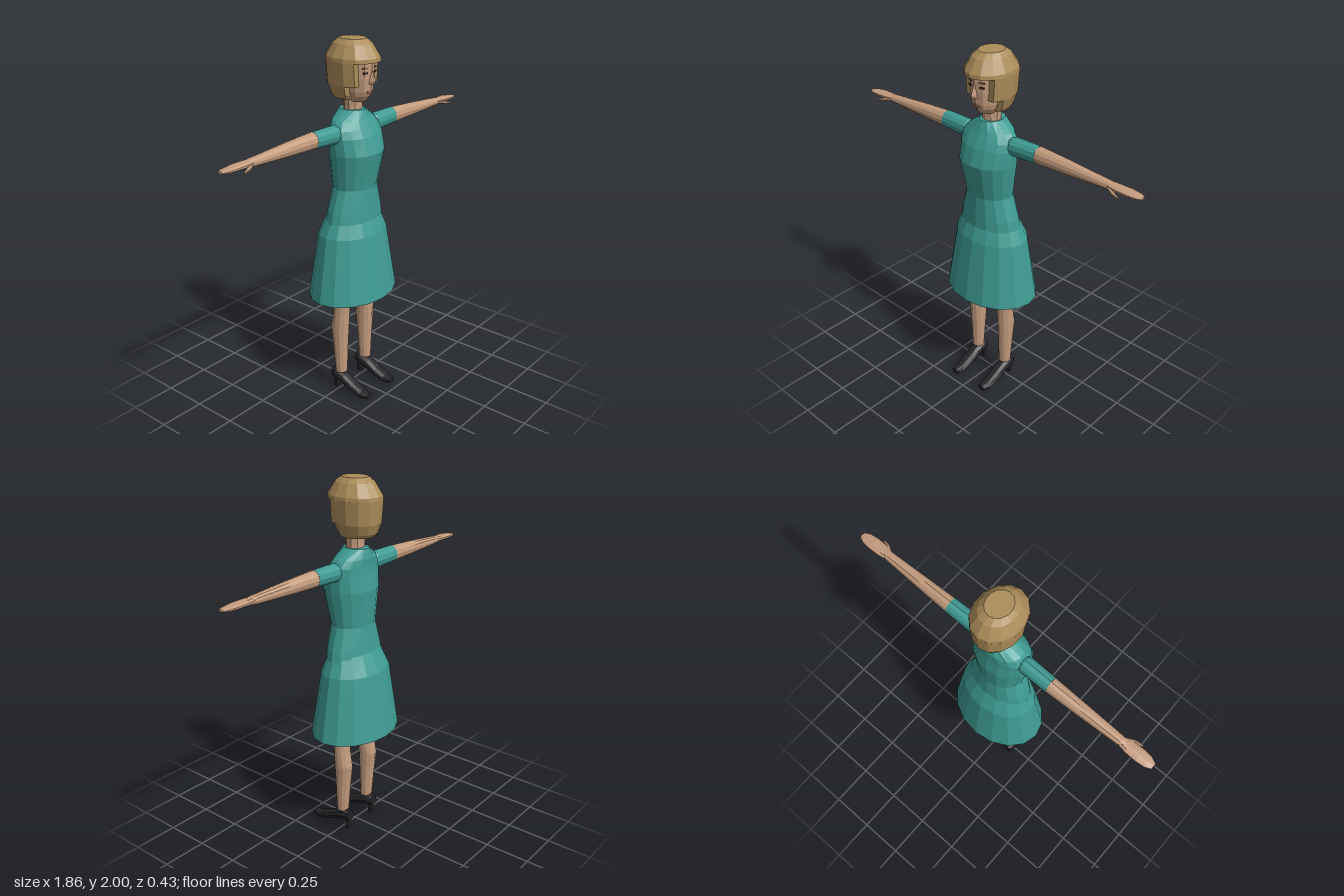
import * as THREE from 'three';

const mat = (name, color, side = THREE.FrontSide) =>
  Object.assign(new THREE.MeshStandardMaterial({ color, flatShading: true, side }), { name });

// Lofts elliptical rings along an axis. Ring: [position, centreU, radiusU, centreV, radiusV]
// y: U = x, V = z;  x: U = z, V = y;  z: U = y, V = x. Rings go in ascending position.
function loft(axis, rings, sides = 12, { caps = true, maxV = Infinity } = {}) {
  const pos = [], idx = [];
  const add = (p, u, v) => {
    if (axis === 'y') pos.push(u, p, v);
    else if (axis === 'x') pos.push(p, v, u);
    else pos.push(v, u, p);
  };
  for (const [p, cu, ru, cv, rv] of rings) {
    for (let j = 0; j < sides; j++) {
      const a = (j / sides) * Math.PI * 2;
      add(p, cu + ru * Math.sin(a), Math.min(maxV, cv + rv * Math.cos(a)));
    }
  }
  for (let i = 0; i < rings.length - 1; i++) {
    for (let j = 0; j < sides; j++) {
      const a = i * sides + j, b = i * sides + ((j + 1) % sides);
      idx.push(a, b, b + sides, a, b + sides, a + sides);
    }
  }
  if (caps) {
    const last = (rings.length - 1) * sides;
    for (let j = 1; j < sides - 1; j++) {
      idx.push(0, j + 1, j, last, last + j, last + j + 1);
    }
  }
  const g = new THREE.BufferGeometry();
  g.setAttribute('position', new THREE.Float32BufferAttribute(pos, 3));
  g.setIndex(idx);
  g.computeVertexNormals();
  return g;
}

// Mirrored copy across x = 0 with corrected winding
function mirrored(geometry) {
  const g = geometry.clone().scale(-1, 1, 1);
  const ix = g.index.array;
  for (let i = 0; i < ix.length; i += 3) [ix[i], ix[i + 1]] = [ix[i + 1], ix[i]];
  g.computeVertexNormals();
  return g;
}

export function createModel() {
  const model = new THREE.Group();
  model.name = 'woman';
  const skin = mat('skin', 0xc49c7e);
  const dress = mat('dress teal', 0x3f9c94);
  const skirtCloth = mat('skirt teal', 0x3f9c94, THREE.DoubleSide);
  const hair = mat('hair blond', 0xac8d5a);
  const black = mat('shoe black', 0x242428);
  const dark = mat('eye dark', 0x33261f);
  const brow = mat('brow brown', 0x6b5038);
  const lip = mat('lip', 0xa56f60);

  const part = (name, geometry, material) => {
    const m = new THREE.Mesh(geometry, material);
    m.name = name;
    model.add(m);
    return m;
  };
  const pair = (name, geometry, material) => {
    part('left ' + name, geometry, material);
    part('right ' + name, mirrored(geometry), material);
  };

  // Dress
  part('skirt', loft('y', [
    [0.605, 0, 0.28, 0, 0.213],
    [0.97, 0, 0.22, -0.002, 0.158],
    [1.08, 0, 0.17, 0.003, 0.112],
  ], 16, { caps: false }), skirtCloth);
  part('bodice', loft('y', [
    [1.045, 0, 0.188, 0.008, 0.122],
    [1.1, 0, 0.177, 0.01, 0.117],
    [1.225, 0, 0.136, 0.014, 0.107],
    [1.42, 0, 0.165, 0.027, 0.133],
    [1.51, 0, 0.171, 0.02, 0.112],
    [1.55, 0, 0.167, 0.011, 0.1],
    [1.59, 0, 0.135, 0, 0.09],
    [1.64, 0, 0.06, -0.006, 0.075],
  ], 16), dress);

  // Sleeves, arms and hands
  pair('sleeve', loft('x', [
    [0.12, 0.008, 0.03, 1.53, 0.035],
    [0.16, 0.008, 0.046, 1.532, 0.05],
    [0.32, 0.005, 0.043, 1.536, 0.046],
  ]), dress);
  pair('arm', loft('x', [
    [0.32, 0.005, 0.042, 1.536, 0.045],
    [0.5, 0.006, 0.036, 1.534, 0.037],
    [0.75, 0.008, 0.026, 1.531, 0.022],
    [0.77, 0.008, 0.024, 1.531, 0.019],
  ]), skin);
  pair('hand', loft('x', [
    [0.74, 0.007, 0.025, 1.531, 0.02],
    [0.79, 0.008, 0.036, 1.533, 0.016],
    [0.85, 0.008, 0.038, 1.533, 0.014],
    [0.9, 0.008, 0.032, 1.531, 0.011],
    [0.93, 0.008, 0.018, 1.53, 0.006],
  ], 10), skin);
  pair('thumb', loft('x', [
    [0.74, 0.02, 0.01, 1.53, 0.011],
    [0.79, 0.045, 0.013, 1.522, 0.01],
    [0.835, 0.062, 0.005, 1.515, 0.005],
  ], 6), skin);

  // Legs and heeled shoes
  pair('leg', loft('y', [
    [0.115, 0.107, 0.034, 0.004, 0.034],
    [0.26, 0.108, 0.041, 0, 0.042],
    [0.4, 0.109, 0.047, -0.004, 0.054],
    [0.49, 0.107, 0.048, 0.006, 0.046],
    [0.62, 0.106, 0.051, 0.017, 0.044],
    [1.0, 0.1, 0.07, 0.01, 0.065],
  ]), skin);
  pair('shoe', loft('z', [
    [-0.054, 0.088, 0.032, 0.107, 0.026],
    [-0.02, 0.088, 0.036, 0.107, 0.038],
    [0.04, 0.068, 0.032, 0.107, 0.039],
    [0.1, 0.041, 0.026, 0.107, 0.04],
    [0.16, 0.02, 0.02, 0.107, 0.037],
    [0.206, 0.018, 0.016, 0.107, 0.024],
  ], 10), black);
  pair('shoe heel', new THREE.BoxGeometry(0.026, 0.07, 0.02).translate(0.107, 0.035, -0.034), black);

  // Neck and head
  part('neck', loft('y', [
    [1.61, 0, 0.055, 0, 0.05],
    [1.655, 0, 0.053, 0, 0.048],
    [1.72, 0, 0.057, 0, 0.05],
  ], 10), skin);
  part('head', loft('y', [
    [1.685, 0, 0.042, 0.03, 0.05],
    [1.715, 0, 0.065, 0.02, 0.085],
    [1.74, 0, 0.073, 0.015, 0.102],
    [1.81, 0, 0.085, 0.01, 0.114],
    [1.93, 0, 0.09, 0.01, 0.115],
  ]), skin);

  // Hair: full cap, sides behind the face, nape
  part('hair cap', loft('y', [
    [1.89, 0, 0.126, 0, 0.155],
    [1.91, 0, 0.124, 0, 0.153],
    [1.975, 0, 0.09, 0, 0.11],
    [2.0, 0, 0.064, 0, 0.074],
  ], 14), hair);
  part('hair sides', loft('y', [
    [1.77, 0, 0.115, 0, 0.147],
    [1.892, 0, 0.126, 0, 0.155],
  ], 14, { maxV: 0.085 }), hair);
  part('hair nape', loft('y', [
    [1.7, 0, 0.086, -0.005, 0.105],
    [1.72, 0, 0.096, 0, 0.128],
    [1.775, 0, 0.115, 0, 0.147],
  ], 14, { maxV: 0.035 }), hair);

  // Face details
  const plate = (w, h, x, y, z, turn) =>
    new THREE.BoxGeometry(w, h, 0.008).rotateY(turn).translate(x, y, z);
  pair('eye', plate(0.024, 0.01, 0.038, 1.838, 0.111, 0.33), dark);
  pair('eyebrow', plate(0.032, 0.006, 0.038, 1.862, 0.111, 0.33), brow);
  pair('lip half', plate(0.022, 0.009, 0.011, 1.738, 0.114, 0.33), lip);
  part('nose', loft('y', [
    [1.78, 0, 0.014, 0.115, 0.02],
    [1.797, 0, 0.015, 0.115, 0.034],
    [1.85, 0, 0.006, 0.116, 0.011],
  ], 4), skin);

  return model;
}
